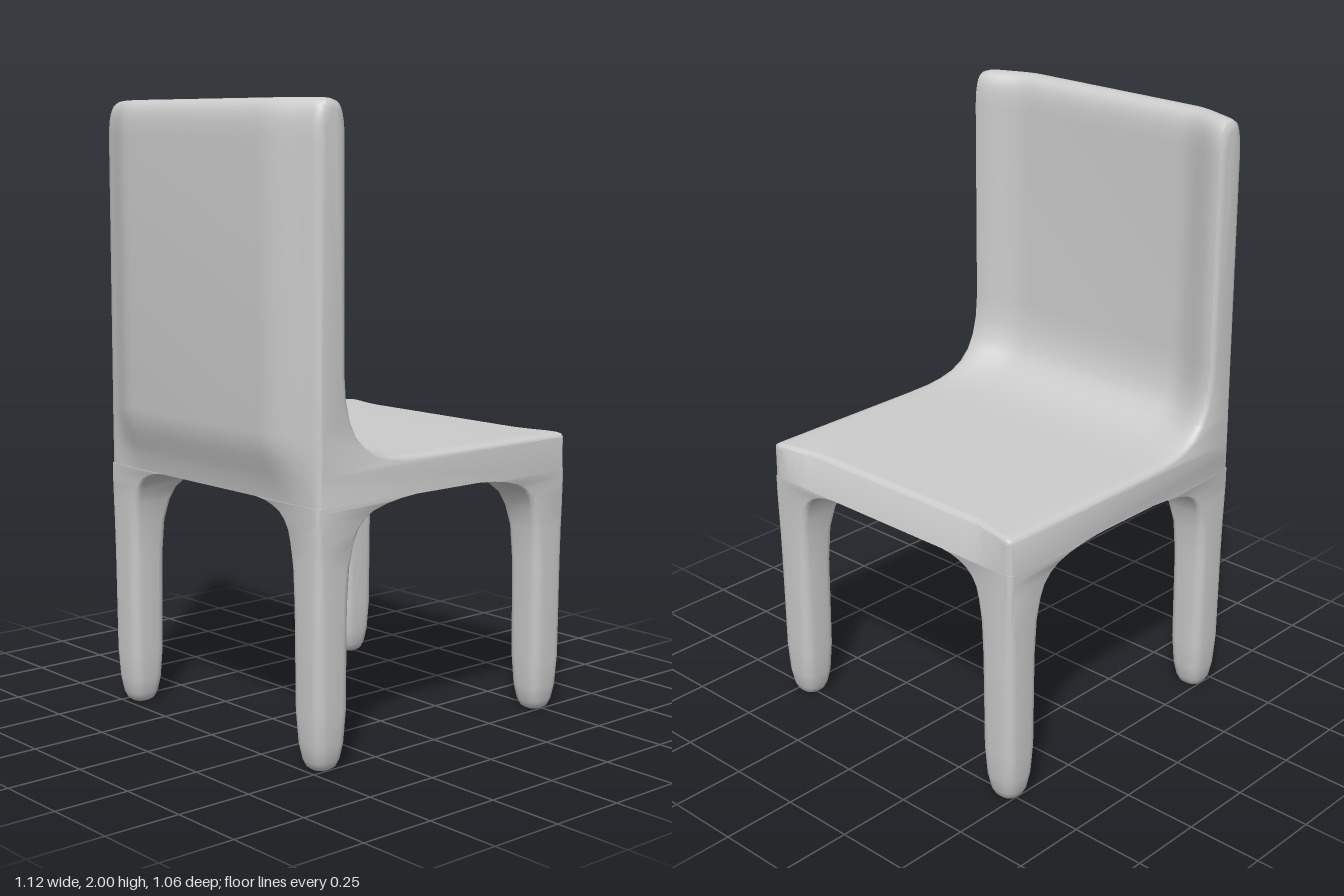
import * as THREE from 'three';
import { mergeVertices, toCreasedNormals } from 'three/addons/utils/BufferGeometryUtils.js';

const material = new THREE.MeshStandardMaterial({ color: 0xcccccc });
const { smoothstep } = THREE.MathUtils;

// Skin a stack of equal-sized rings and cap both ends; flat(p) gives a ring's 2D outline
function loft(rings, flat) {
  const n = rings[0].length, index = [];
  for (let r = 0; r < rings.length - 1; r++) {
    for (let i = 0; i < n; i++) {
      const a = r * n + i, b = r * n + (i + 1) % n;
      index.push(a, b, b + n, a, b + n, a + n);
    }
  }
  const last = (rings.length - 1) * n;
  for (const [a, b, c] of THREE.ShapeUtils.triangulateShape(rings[0].map(flat), [])) index.push(a, c, b);
  for (const [a, b, c] of THREE.ShapeUtils.triangulateShape(rings[rings.length - 1].map(flat), [])) {
    index.push(last + a, last + b, last + c);
  }
  const geometry = new THREE.BufferGeometry().setFromPoints(rings.flat());
  geometry.setIndex(index);
  return toCreasedNormals(mergeVertices(geometry), 0.65);
}

// Seat and backrest: one L-shaped side profile swept across the width
function seatAndBack() {
  const s = new THREE.Shape();
  s.moveTo(-0.505, 0.81);
  s.lineTo(0.56, 0.81);
  s.lineTo(0.56, 0.91);
  s.quadraticCurveTo(0.56, 0.93, 0.54, 0.93);
  s.lineTo(-0.05, 0.93);
  s.bezierCurveTo(-0.3, 0.93, -0.385, 0.96, -0.39, 1.2);
  s.lineTo(-0.39, 1.88);
  s.bezierCurveTo(-0.39, 1.97, -0.405, 2, -0.447, 2);
  s.bezierCurveTo(-0.49, 2, -0.505, 1.97, -0.505, 1.88);
  for (const y of [1.02, 0.98, 0.94, 0.9, 0.86]) s.lineTo(-0.505, y);
  const profile = s.getPoints(8);
  const n = profile.length;
  const normals = profile.map((p, i) => {
    const t = profile[(i + 1) % n].clone().sub(p).normalize()
      .add(p.clone().sub(profile[(i + n - 1) % n]).normalize()).normalize();
    // the underside stays level so the legs join flush
    return p.y < 0.82 ? new THREE.Vector2(Math.abs(p.x) > 0.5 ? Math.sign(p.x) : 0, 0) : new THREE.Vector2(t.y, -t.x);
  });

  // half-width stations with the edge rounding at each
  const half = [[0.53, 0.02], [0.526, 0.011], [0.518, 0.004], [0.5, 0.001], [0.47, 0],
    [0.44, 0], [0.41, 0], [0.38, 0], [0.35, 0], [0.32, 0]];
  const stations = [...half.map(([z, r]) => [-z, r]), [0, 0], ...half.slice().reverse()];
  const rings = stations.map(([z, inset]) => profile.map((p, i) => {
    const k = inset * (0.8 + 0.5 * smoothstep(p.y, 0.95, 1.2) + 0.5 * smoothstep(p.y, 1.88, 2));
    // the middle of the backrest bows backwards
    const bow = 0.055 * (1 - smoothstep(Math.abs(z), 0.33, 0.53)) * smoothstep(p.y, 0.8, 1.02);
    return new THREE.Vector3(p.x - normals[i].x * k - bow, p.y - normals[i].y * k, z);
  }));
  return loft(rings, p => new THREE.Vector2(p.x, p.y));
}

// Leg rows: height, tip inset, corner radius, flare along x, flare along z
const legRows = [
  [0, 0.035, 0.025, 0, 0], [0.008, 0.024, 0.03, 0, 0], [0.03, 0.014, 0.035, 0, 0],
  [0.08, 0.006, 0.035, 0, 0], [0.18, 0.001, 0.033, 0, 0], [0.5, 0, 0.03, 0, 0],
  [0.62, 0, 0.025, 0.006, 0.003], [0.69, 0, 0.02, 0.02, 0.012], [0.73, 0, 0.018, 0.037, 0.022],
  [0.76, 0, 0.016, 0.065, 0.04], [0.78, 0, 0.016, 0.1, 0.063], [0.795, 0, 0.016, 0.155, 0.095],
  [0.805, 0, 0.016, 0.22, 0.13], [0.811, 0, 0.016, 0.3, 0.18],
];

// Leg with a rounded tip, flaring inwards into the seat
function leg(outerX, sz) {
  const sx = Math.sign(outerX);
  const rings = legRows.map(([y, inset, r, fx, fz]) => {
    const xs = [outerX - sx * inset, outerX - sx * (0.128 - inset + fx)];
    const zs = [sz * (0.53 - inset), sz * (0.402 + inset - fz)];
    const cx = (xs[0] + xs[1]) / 2, cz = (zs[0] + zs[1]) / 2;
    const hx = Math.abs(xs[0] - xs[1]) / 2 - r, hz = Math.abs(zs[0] - zs[1]) / 2 - r;
    const ring = [];
    for (let q = 0; q < 4; q++) {
      for (let j = 0; j <= 4; j++) {
        const a = (q + j / 4) * Math.PI / 2;
        const uz = q === 0 || q === 3 ? 1 : -1, ux = q < 2 ? 1 : -1;
        ring.push(new THREE.Vector3(cx + ux * hx + r * Math.sin(a), y, cz + uz * hz + r * Math.cos(a)));
      }
    }
    return ring;
  });
  return loft(rings, p => new THREE.Vector2(p.z, p.x));
}

export function createModel() {
  const chair = new THREE.Group();
  chair.name = 'chair';
  const add = (name, geometry) => {
    const mesh = new THREE.Mesh(geometry, material);
    mesh.name = name;
    chair.add(mesh);
  };

  add('seatAndBackrest', seatAndBack());
  for (const sz of [-1, 1]) {
    add('seatEndLeg', leg(0.56, sz));
    add('backrestEndLeg', leg(-0.507, sz));
  }
  return chair;
}
